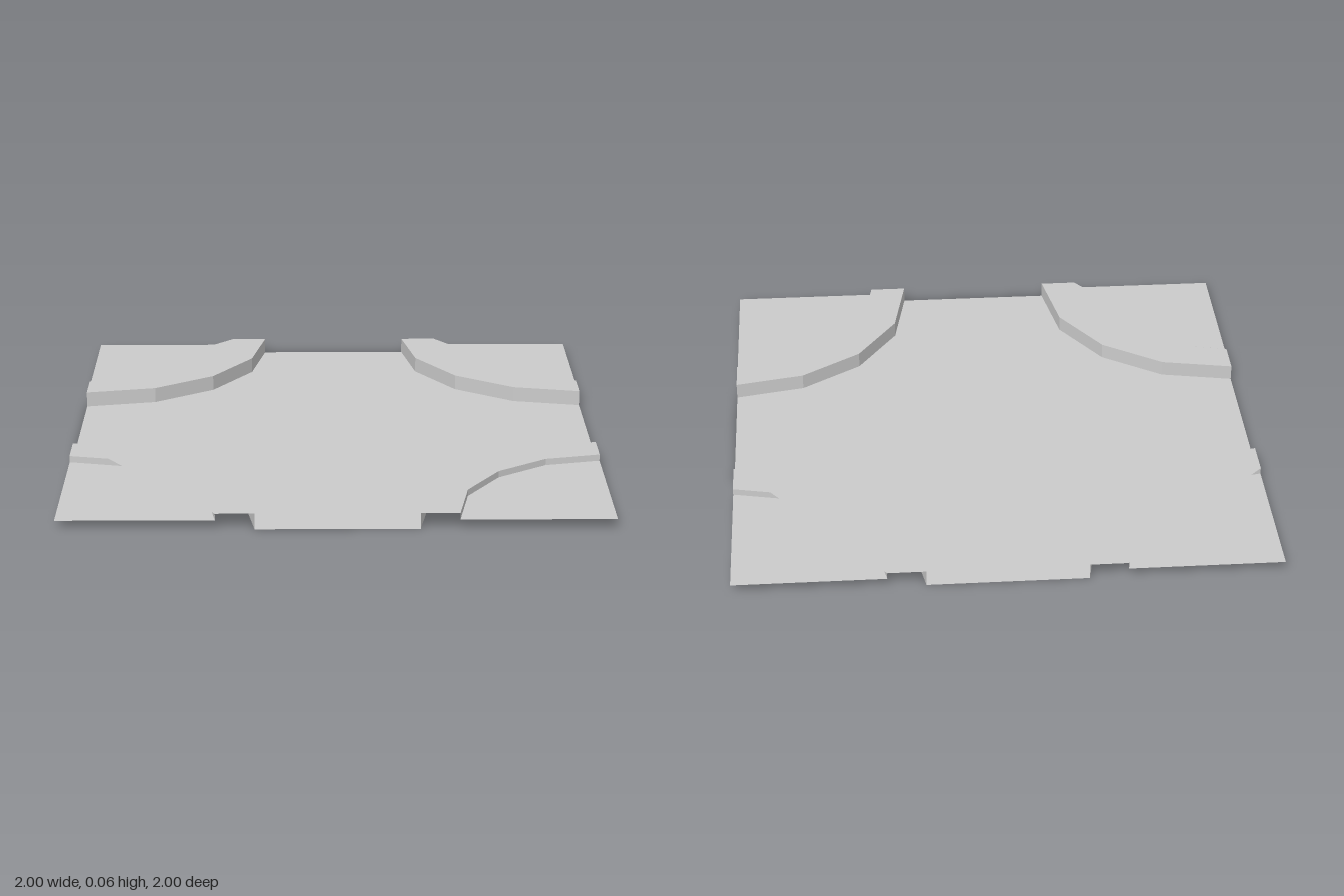
import * as THREE from 'three';

const KERB_H = 0.06, LAWN_H = 0.035;
const material = new THREE.MeshStandardMaterial({ color: 0xcccccc, side: THREE.DoubleSide, flatShading: true });

// One corner's outlines, [x, z]; mirrored to all four corners
const KERB = [[1, 0.295], [0.73, 0.347], [0.5, 0.497], [0.345, 0.727], [0.295, 1]];
const INNER = [[1, 0.43], [0.785, 0.475], [0.6, 0.6], [0.475, 0.785], [0.435, 1]];
// Outer edge of the pavement top: curved, cut by a chord, or part of each
const CHORD = [[1, 0.43], [0.435, 1]];
const PART_CHORD = [[1, 0.43], [0.855, 0.46], [0.435, 1]];

// Mirror into a corner; the junction sits slightly off centre in the square tile
function place(points, sx, sz) {
  return points.map(([x, z]) => [
    x === 1 ? sx : sx * x + 0.005,
    z === 1 ? sz : sz * z - 0.01,
  ]);
}

// Flat, upward-facing polygon at height y
function flat(name, points, y) {
  const shape = new THREE.Shape(points.map(([x, z]) => new THREE.Vector2(x, -z)));
  const mesh = new THREE.Mesh(new THREE.ShapeGeometry(shape).rotateX(-Math.PI / 2), material);
  mesh.position.y = y;
  mesh.name = name;
  return mesh;
}

// Upright wall following a line of points
function wall(name, points, y0, y1, flip) {
  const pos = [];
  const line = flip ? [...points].reverse() : points;
  for (let i = 0; i < line.length - 1; i++) {
    const [ax, az] = line[i], [bx, bz] = line[i + 1];
    pos.push(ax, y0, az, bx, y0, bz, bx, y1, bz);
    pos.push(ax, y0, az, bx, y1, bz, ax, y1, az);
  }
  const geometry = new THREE.BufferGeometry();
  geometry.setAttribute('position', new THREE.Float32BufferAttribute(pos, 3));
  geometry.computeVertexNormals();
  const mesh = new THREE.Mesh(geometry, material);
  mesh.name = name;
  return mesh;
}

export function createModel() {
  const model = new THREE.Group();
  model.name = 'roadJunction';

  // Corners, in order around the tile
  const corners = [
    ['frontLeft', 1, 1, INNER],
    ['frontRight', -1, 1, PART_CHORD],
    ['backRight', -1, -1, CHORD],
    ['backLeft', 1, -1, PART_CHORD],
  ];
  const roadOutline = [];
  for (const [label, sx, sz, topEdge] of corners) {
    const corner = new THREE.Group();
    corner.name = label + 'Corner';
    const kerb = place(KERB, sx, sz);
    const inner = place(INNER, sx, sz);
    const mirrored = sx * sz < 0;
    corner.add(
      wall('kerbFace', kerb, 0, KERB_H, !mirrored),
      wall('pavementBackFace', inner, LAWN_H, KERB_H, mirrored),
      flat('pavementTop', [...kerb, ...place(topEdge, sx, sz).reverse()], KERB_H),
      flat('cornerGround', [...inner, [sx, sz]], LAWN_H),
    );
    model.add(corner);
    roadOutline.push(...(mirrored ? [...kerb].reverse() : kerb));
  }

  // Road surface
  model.add(flat('road', roadOutline, 0));

  // Four crossings of five painted stripes
  for (const [name, cx, cz, along] of [
    ['frontCrossing', 0, 0.825, 'x'],
    ['backCrossing', 0, -0.845, 'x'],
    ['leftCrossing', 0.835, -0.01, 'z'],
    ['rightCrossing', -0.835, -0.01, 'z'],
  ]) {
    const crossing = new THREE.Group();
    crossing.name = name;
    for (let i = -2; i <= 2; i++) {
      const geometry = new THREE.PlaneGeometry(0.05, 0.11).rotateX(-Math.PI / 2);
      const stripe = new THREE.Mesh(geometry, material);
      stripe.name = 'stripe';
      if (along === 'z') stripe.rotation.y = Math.PI / 2;
      stripe.position[along] = i * 0.107;
      crossing.add(stripe);
    }
    crossing.position.set(cx, 0.001, cz);
    model.add(crossing);
  }
  return model;
}
